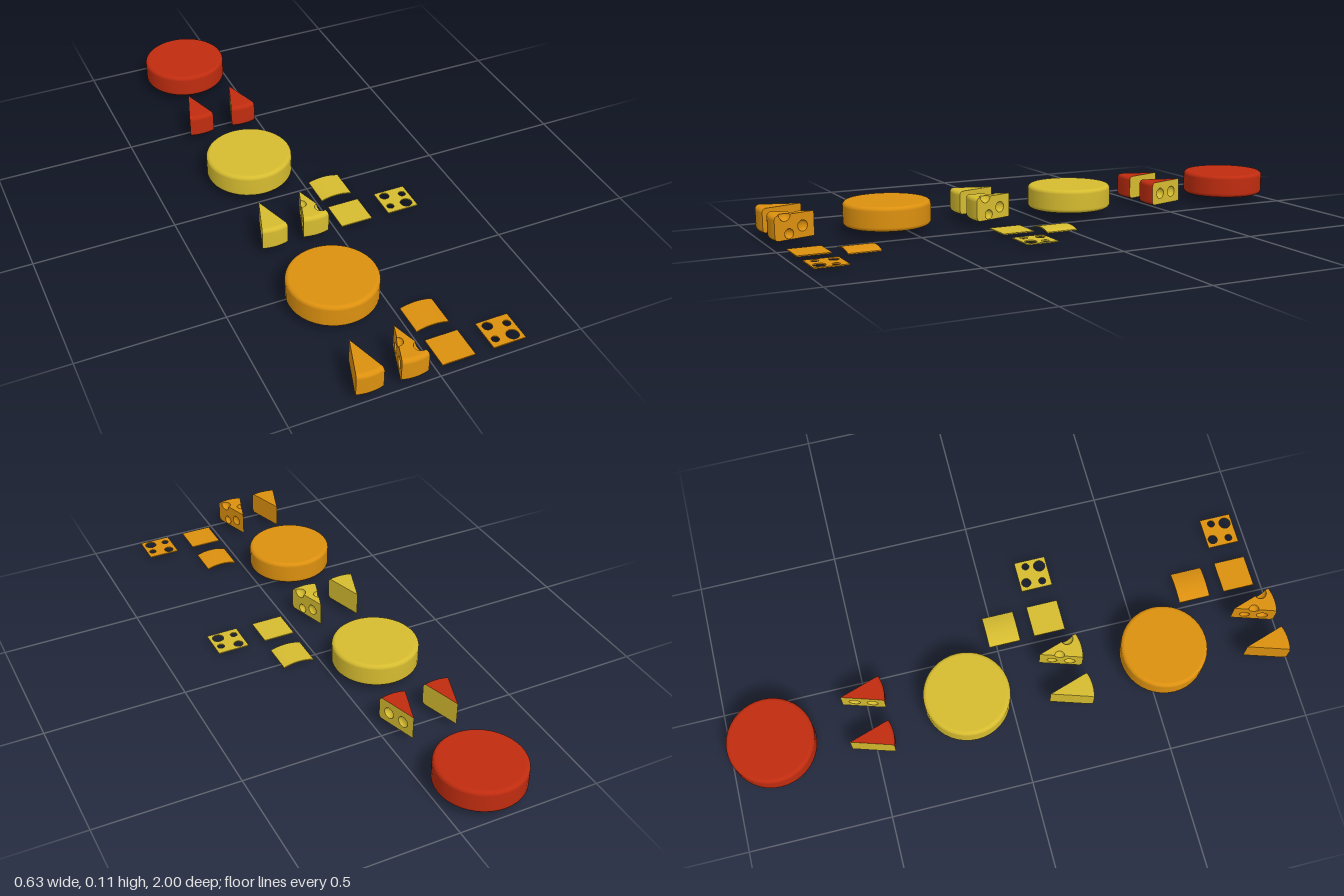
import * as THREE from 'three';

const R = 0.153, Y0 = 0.026, Y1 = 0.111, BEVEL = 0.014; // wheel radius, height range, rounded rim
const A = 0.309;                                        // half angle of a wedge
const SLICE = 0.115, THICK = 0.004;

function material(name, color) {
  const m = new THREE.MeshStandardMaterial({ color, side: THREE.DoubleSide });
  m.name = name;
  return m;
}

function add(parent, name, geometry, mat, x = 0, y = 0, z = 0) {
  const mesh = new THREE.Mesh(geometry, mat);
  mesh.name = name;
  mesh.position.set(x, y, z);
  parent.add(mesh);
  return mesh;
}

// Rounded outer profile, from the bottom to the top
function rimProfile() {
  const pts = [];
  for (const [cy, start] of [[Y0 + BEVEL, -Math.PI / 2], [Y1 - BEVEL, 0]]) {
    for (let i = 0; i <= 5; i++) {
      const t = start + (i / 5) * Math.PI / 2;
      pts.push(new THREE.Vector2(R - BEVEL + BEVEL * Math.cos(t), cy + BEVEL * Math.sin(t)));
    }
  }
  return pts;
}

function wheel(parent, name, mat, z) {
  const profile = [new THREE.Vector2(0, Y0), ...rimProfile(), new THREE.Vector2(0, Y1)];
  add(parent, name, new THREE.LatheGeometry(profile, 40), mat, -0.16, 0, z);
}

// Half circle from angle 0 to PI as [cos, sin] pairs
const halfCircle = Array.from({ length: 13 }, (_, i) => [Math.cos(i * Math.PI / 12), Math.sin(i * Math.PI / 12)]);

// Cut face of a wedge with round dimples and an optional bite in its top edge; s is the side (+1 or -1)
function cutFace(parent, mat, s, { holes = [], bite }) {
  const side = new THREE.Group();
  side.name = s > 0 ? 'leftCutFace' : 'rightCutFace';
  side.rotation.y = s * (A + Math.PI / 2);
  parent.add(side);
  const pts = [new THREE.Vector2(0, Y0), ...rimProfile()];
  if (bite) for (const [c, h] of halfCircle) pts.push(new THREE.Vector2(bite.d + bite.r * c, Y1 - bite.r * h));
  pts.push(new THREE.Vector2(0, Y1));
  const shape = new THREE.Shape(pts.map(p => new THREE.Vector2(-s * p.x, p.y)));
  for (const [d, y, r, depth] of holes) {
    shape.holes.push(new THREE.Path().absarc(-s * d, y, r, 0, Math.PI * 2, true));
    const bowl = new THREE.SphereGeometry(r, 24, 8, 0, Math.PI * 2, 0, Math.PI / 2);
    bowl.rotateX(-Math.PI / 2).scale(1, 1, depth / r);
    add(side, 'dimple', bowl, mat, -s * d, y, 0);
  }
  add(side, 'cutSurface', new THREE.ShapeGeometry(shape, 12), mat);
  if (bite) {
    const bowl = new THREE.SphereGeometry(bite.r, 12, 8, Math.PI, Math.PI, 0, Math.PI / 2);
    add(side, 'topBite', bowl.rotateX(-Math.PI / 2), mat, -s * bite.d, Y1, 0);
  }
}

// Top or bottom outline of a wedge as (x, z) points, tip at the origin
function sectorPoints(leftBite, rightBite) {
  const edge = (s, bite) => !bite ? [] : halfCircle.map(([c, h]) => {
    const along = bite.d - bite.r * c, inward = bite.r * h;
    return new THREE.Vector2(
      s * (along * Math.sin(A) - inward * Math.cos(A)),
      along * Math.cos(A) + inward * Math.sin(A));
  });
  const arc = [];
  for (let i = 0; i <= 8; i++) {
    const t = A - (i / 8) * 2 * A;
    arc.push(new THREE.Vector2((R - BEVEL) * Math.sin(t), (R - BEVEL) * Math.cos(t)));
  }
  return [new THREE.Vector2(0, 0), ...edge(1, leftBite), ...arc, ...edge(-1, rightBite).reverse()];
}

function wedge(parent, name, skin, flesh, x, z, left = {}, right = {}) {
  const g = new THREE.Group();
  g.name = name;
  g.position.set(x, 0, z);
  parent.add(g);
  add(g, 'rind', new THREE.LatheGeometry(rimProfile(), 8, -A, 2 * A), skin);
  const top = sectorPoints(left.bite, right.bite).map(p => new THREE.Vector2(p.x, -p.y));
  add(g, 'top', new THREE.ShapeGeometry(new THREE.Shape(top)).rotateX(-Math.PI / 2), skin, 0, Y1, 0);
  add(g, 'bottom', new THREE.ShapeGeometry(new THREE.Shape(sectorPoints())).rotateX(Math.PI / 2), skin, 0, Y0, 0);
  cutFace(g, flesh, 1, left);
  cutFace(g, flesh, -1, right);
}

// Slice arched along x
function bentSlice(parent, mat, z) {
  const geo = new THREE.BoxGeometry(SLICE, THICK, SLICE, 14, 1, 1);
  const p = geo.attributes.position;
  for (let i = 0; i < p.count; i++) {
    const u = p.getX(i) / (SLICE / 2);
    p.setY(i, p.getY(i) + THICK / 2 + 0.0095 * (1 - u * u));
  }
  geo.computeVertexNormals();
  add(parent, 'bentSlice', geo, mat, 0.0775, 0, z);
}

// Flat slice with four round holes
function holedSlice(parent, mat, z) {
  const h = SLICE / 2;
  const shape = new THREE.Shape([[-h, -h], [h, -h], [h, h], [-h, h]].map(a => new THREE.Vector2(...a)));
  for (const [x, dz, r] of [[-0.028, -0.033, 0.017], [0.035, -0.02, 0.013], [-0.034, 0.026, 0.013], [0.026, 0.03, 0.021]]) {
    shape.holes.push(new THREE.Path().absarc(x, -dz, r, 0, Math.PI * 2, true));
  }
  const geo = new THREE.ExtrudeGeometry(shape, { depth: THICK, bevelEnabled: false, curveSegments: 12 });
  add(parent, 'holedSlice', geo.rotateX(-Math.PI / 2), mat, 0.257, 0.01, z);
}

export function createModel() {
  const model = new THREE.Group();
  model.name = 'cheeseSet';
  const orange = material('orangeCheese', 0xdc900f);
  const yellow = material('yellowCheese', 0xd6bc30);
  const red = material('redWax', 0xc02c0f);

  // Orange and yellow sets: wheel, two wedges and three slices each
  const left = { holes: [[0.045, 0.066, 0.019, 0.011], [0.098, 0.046, 0.017, 0.015]], bite: { d: 0.113, r: 0.022 } };
  const right = { holes: [[0.045, 0.06, 0.018, 0.011], [0.108, 0.062, 0.02, 0.017]], bite: { d: 0.07, r: 0.018 } };
  for (const [name, mat, z] of [['orange', orange, 0], ['yellow', yellow, -0.717]]) {
    const set = new THREE.Group();
    set.name = name + 'Set';
    set.position.z = z;
    model.add(set);
    wheel(set, 'wheel', mat, 0.565);
    wedge(set, 'plainWedge', mat, mat, -0.2365, 0.847);
    wedge(set, 'holedWedge', mat, mat, -0.0865, 0.847, left, right);
    add(set, 'flatSlice', new THREE.BoxGeometry(SLICE, THICK, SLICE), mat, 0.0775, 0.012, 0.915);
    bentSlice(set, mat, 0.748);
    holedSlice(set, mat, 0.915);
  }

  // Red waxed set: wheel and two wedges with yellow cut faces
  const set = new THREE.Group();
  set.name = 'redSet';
  model.add(set);
  const dimples = { holes: [[0.046, 0.067, 0.02, 0.011], [0.109, 0.067, 0.02, 0.017]] };
  wheel(set, 'wheel', red, -0.847);
  wedge(set, 'plainWedge', red, yellow, -0.2365, -0.582);
  wedge(set, 'holedWedge', red, yellow, -0.071, -0.582, dimples, dimples);
  return model;
}
